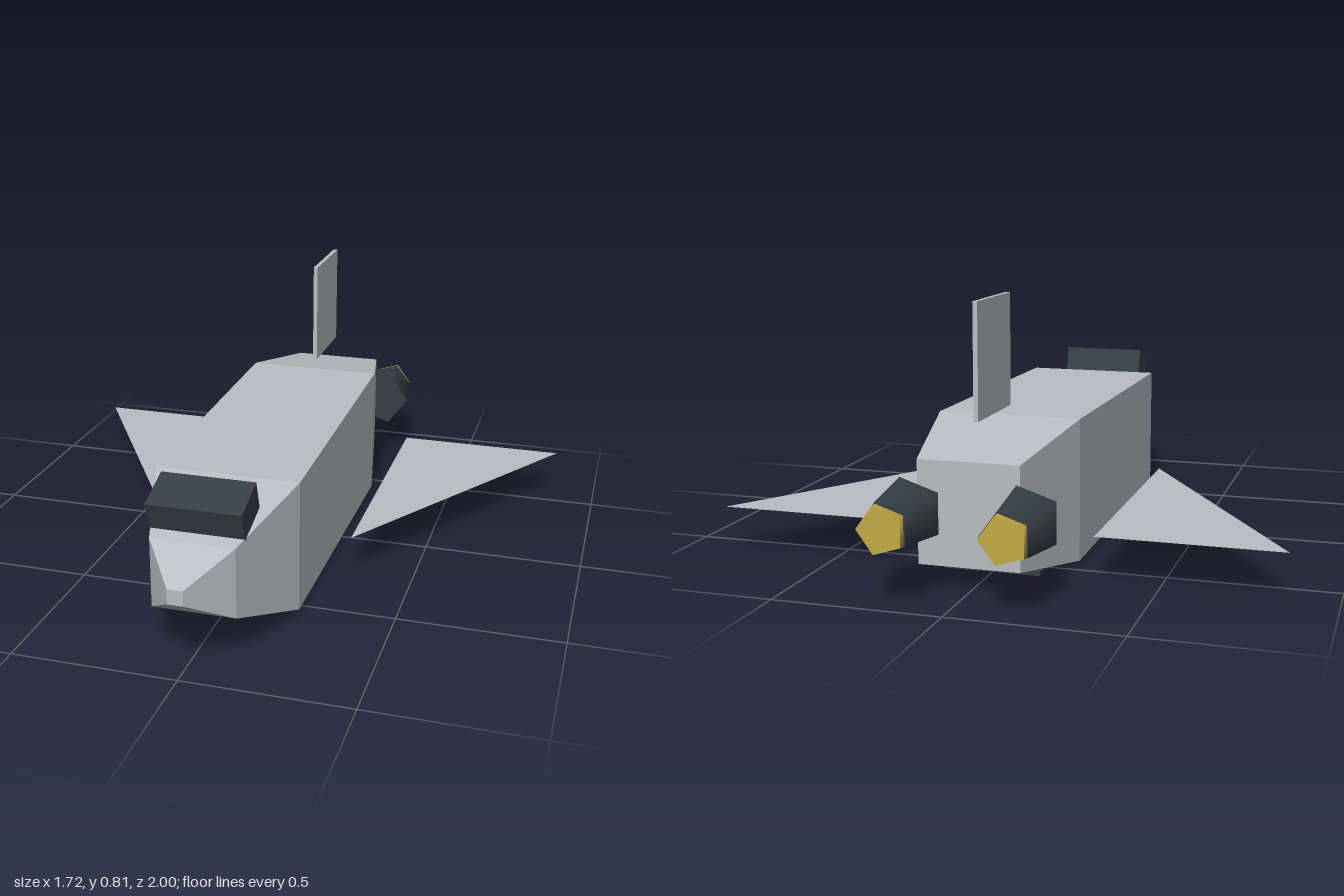
import * as THREE from 'three';

function facets(points) {
  const g = new THREE.BufferGeometry();
  g.setAttribute('position', new THREE.Float32BufferAttribute(points.flat(), 3));
  g.computeVertexNormals();
  return g;
}

// Rectangular cross-sections, nose to tail: z, half width, bottom, top
function hullGeometry() {
  const rings = [
    [1.0, 0.023, 0.23, 0.275],
    [0.86, 0.125, 0.135, 0.348],
    [0.555, 0.22, 0.017, 0.427],
    [-0.43, 0.22, 0.006, 0.438],
    [-0.79, 0.15, 0.07, 0.372],
  ].map(([z, w, b, t]) => [[-w, b, z], [w, b, z], [w, t, z], [-w, t, z]]);
  const pts = [];
  const quad = (a, b, c, d) => pts.push(a, b, c, a, c, d);
  for (let k = 0; k < rings.length - 1; k++) {
    const f = rings[k], r = rings[k + 1];
    for (let i = 0; i < 4; i++) {
      const j = (i + 1) % 4;
      quad(f[i], r[i], r[j], f[j]);
    }
  }
  quad(...rings[0]);
  quad(...[...rings[rings.length - 1]].reverse());
  return facets(pts);
}

// Delta wing: upper and lower skins with open edges
function wingGeometry(side) {
  const plan = [[0.31, 0.28], [0.86, -0.61], [0.31, -0.61]];
  const skin = (y) => plan.map(([x, z]) => [side * x, y, z]);
  const upper = skin(0.137), lower = skin(0.123);
  (side > 0 ? lower : upper).reverse();
  return facets([...upper, ...lower]);
}

// Five-sided cone section along z, one corner pointing to +x
function nozzleGeometry(rFront, rBack, length) {
  return new THREE.CylinderGeometry(rFront, rBack, length, 5)
    .rotateX(Math.PI / 2).rotateZ(Math.PI / 2);
}

export function createModel() {
  const model = new THREE.Group();
  const material = (name, color) => {
    const m = new THREE.MeshStandardMaterial({ color });
    m.name = name;
    return m;
  };
  const hullGrey = material('hullGrey', 0xb8bfc2);
  const darkSlate = material('darkSlate', 0x353f45);
  const gold = material('gold', 0xc4ab45);

  const add = (name, geometry, mat, x = 0, y = 0, z = 0) => {
    const mesh = new THREE.Mesh(geometry, mat);
    mesh.name = name;
    mesh.position.set(x, y, z);
    model.add(mesh);
    return mesh;
  };

  add('hull', hullGeometry(), hullGrey);
  add('tailFin', new THREE.BoxGeometry(0.014, 0.335, 0.285), hullGrey, 0, 0.638, -0.578);

  // Cockpit block tilted to follow the nose
  const cockpit = add('cockpit', new THREE.BoxGeometry(0.28, 0.092, 0.138), darkSlate, 0, 0.42, 0.768);
  cockpit.rotation.x = 0.33;

  add('bellyPlate', new THREE.BoxGeometry(0.29, 0.014, 0.32), darkSlate, 0, 0.007, -0.43);

  for (const side of [1, -1]) {
    const label = side > 0 ? 'left' : 'right';
    add(label + 'Wing', wingGeometry(side), hullGrey);
    add(label + 'Engine', nozzleGeometry(0.102, 0.076, 0.188), darkSlate, side * 0.171, 0.22, -0.884);
    add(label + 'Exhaust', nozzleGeometry(0.071, 0.071, 0.04), gold, side * 0.171, 0.22, -0.98);
  }
  return model;
}
